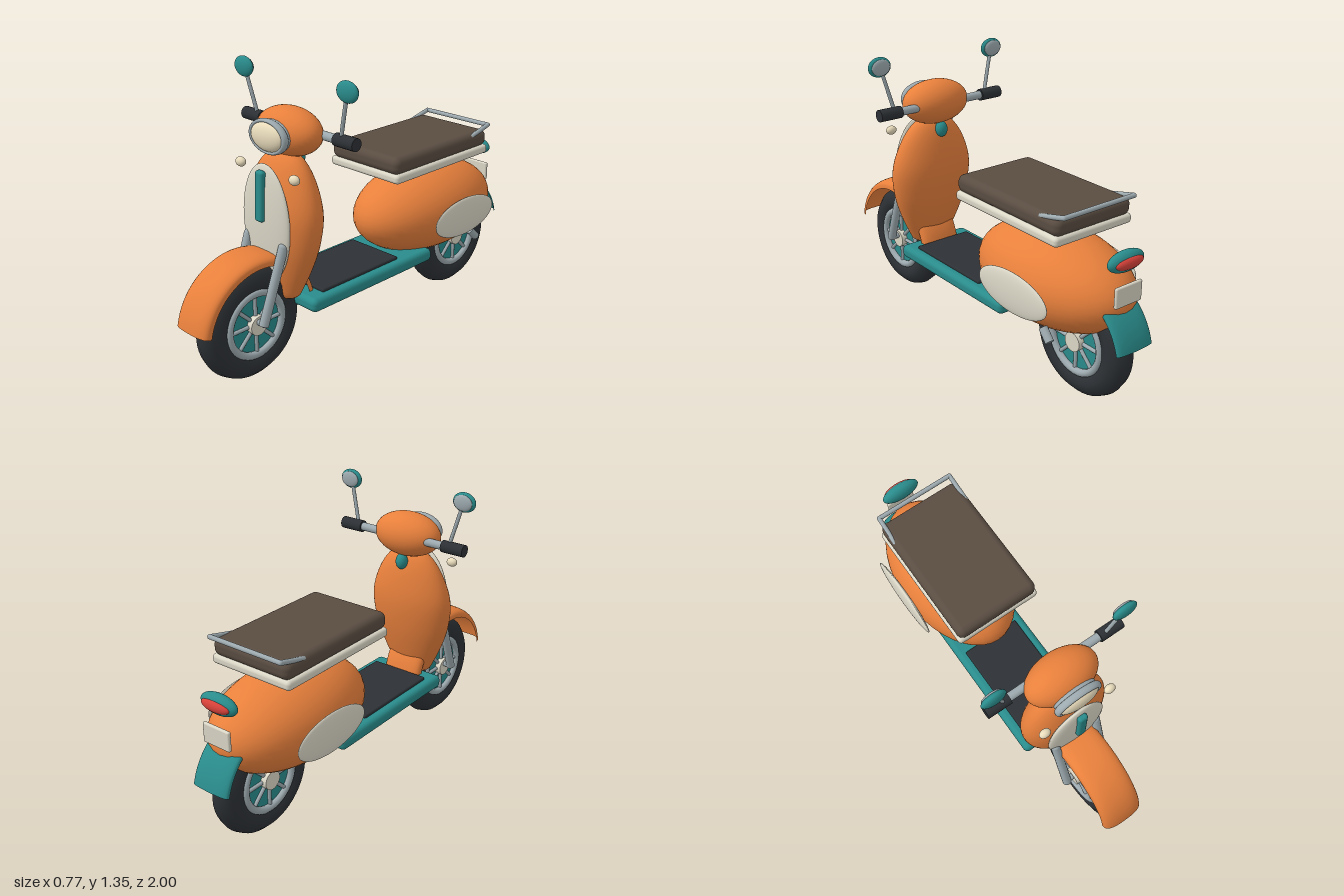
import * as THREE from 'three';
import { RoundedBoxGeometry } from 'three/addons/geometries/RoundedBoxGeometry.js';

const paint = (color) => new THREE.MeshStandardMaterial({ color });
const ORANGE = paint(0xe8803c), TEAL = paint(0x2a8c8c), CREAM = paint(0xdcd8c8), LENS = paint(0xeaddbd);
const STEEL = paint(0x9daaaf), RUBBER = paint(0x2d3135), BROWN = paint(0x5a4d42), RED = paint(0xd8423a);
const V = (x, y, z) => new THREE.Vector3(x, y, z);

export function createModel() {
  const model = new THREE.Group();
  model.name = 'scooter';

  function add(name, geometry, material, x = 0, y = 0, z = 0, parent = model) {
    const mesh = new THREE.Mesh(geometry, material);
    mesh.name = name;
    mesh.position.set(x, y, z);
    parent.add(mesh);
    return mesh;
  }
  const ellipsoid = (name, material, [x, y, z], [rx, ry, rz]) =>
    add(name, new THREE.SphereGeometry(1, 40, 24).scale(rx, ry, rz), material, x, y, z);
  const box = (name, material, [x, y, z], [w, h, d], r) =>
    add(name, new RoundedBoxGeometry(w, h, d, 4, r), material, x, y, z);
  // Straight rod between two points
  function rod(name, material, a, b, r, parent = model) {
    const dir = b.clone().sub(a);
    const mesh = add(name, new THREE.CylinderGeometry(r, r, dir.length(), 16), material, 0, 0, 0, parent);
    mesh.position.copy(a).add(b).multiplyScalar(0.5);
    mesh.quaternion.setFromUnitVectors(V(0, 1, 0), dir.normalize());
    return mesh;
  }

  // Wheels: tyre, disc, rims, spokes and hub around the x axis
  function wheel(name, z) {
    const group = new THREE.Group();
    group.name = name;
    group.position.set(0, 0.27, z);
    model.add(group);
    add('tyre', new THREE.TorusGeometry(0.2, 0.068, 12, 48).rotateY(Math.PI / 2), RUBBER, 0, 0, 0, group);
    add('wheelDisc', new THREE.CylinderGeometry(0.15, 0.15, 0.09, 40).rotateZ(Math.PI / 2), TEAL, 0, 0, 0, group);
    add('hub', new THREE.CylinderGeometry(0.045, 0.045, 0.15, 24).rotateZ(Math.PI / 2), CREAM, 0, 0, 0, group);
    for (const s of [-1, 1]) {
      add('rim', new THREE.TorusGeometry(0.148, 0.018, 10, 48).rotateY(Math.PI / 2), STEEL, s * 0.052, 0, 0, group);
      for (let i = 0; i < 8; i++) {
        const a = i * Math.PI / 4, c = Math.cos(a), n = Math.sin(a);
        rod('spoke', STEEL, V(s * 0.05, 0.03 * n, 0.03 * c), V(s * 0.05, 0.15 * n, 0.15 * c), 0.009, group);
      }
    }
  }
  wheel('frontWheel', 0.68);
  wheel('rearWheel', -0.69);

  // Mudguards: a domed section swept around the axle, angles from the front horizontal
  function mudguard(name, color, z, from, to, rEdge, rTop, half) {
    const g = new THREE.PlaneGeometry(1, 1, 16, 32), p = g.attributes.position;
    for (let i = 0; i < p.count; i++) {
      const t = p.getX(i) * Math.PI;
      const a = THREE.MathUtils.degToRad(THREE.MathUtils.lerp(from, to, p.getY(i) + 0.5));
      const r = rEdge + (rTop - rEdge) * Math.pow(Math.max(0, Math.cos(t)), 0.6);
      const x = half * Math.sign(t) * Math.pow(Math.abs(Math.sin(t)), 0.8);
      p.setXYZ(i, x, r * Math.sin(a), r * Math.cos(a));
    }
    g.computeVertexNormals();
    add(name, g, new THREE.MeshStandardMaterial({ color: color.color, side: THREE.DoubleSide }), 0, 0.27, z);
  }
  mudguard('frontMudguard', ORANGE, 0.68, 11, 166, 0.283, 0.328, 0.105);
  mudguard('rearMudguard', TEAL, -0.69, 80, 166, 0.295, 0.32, 0.1);

  // Leg shield: oval sections, leaning slightly back
  const outline = new THREE.SplineCurve([
    [0.001, 0.335], [0.09, 0.34], [0.13, 0.4], [0.175, 0.5], [0.207, 0.6], [0.221, 0.71],
    [0.208, 0.8], [0.165, 0.9], [0.11, 0.97], [0.05, 1.002], [0.001, 1.006],
  ].map(([x, y]) => new THREE.Vector2(x, y)));
  const shield = new THREE.LatheGeometry(outline.getPoints(40), 48);
  shield.applyMatrix4(new THREE.Matrix4().set(1, 0, 0, 0, 0, 1, 0, 0, 0, -0.06, 0.545, 0.5, 0, 0, 0, 1));
  add('legShield', shield, ORANGE);
  ellipsoid('frontPanel', CREAM, [0, 0.7, 0.557], [0.15, 0.27, 0.03]);
  box('frontTrim', TEAL, [0, 0.83, 0.586], [0.048, 0.23, 0.032], 0.014).rotation.x = -0.05;
  ellipsoid('bagHook', TEAL, [0, 0.955, 0.362], [0.03, 0.04, 0.03]);

  // Headset and headlight
  ellipsoid('headset', ORANGE, [0, 1.085, 0.41], [0.178, 0.108, 0.112]);
  const ring = new THREE.TorusGeometry(0.105, 0.013, 12, 48).scale(1, 0.66, 1.3);
  add('headlightRing', ring, STEEL, 0, 1.083, 0.53);
  const shell = new THREE.CylinderGeometry(0.105, 0.105, 0.06, 40).rotateX(Math.PI / 2).scale(1, 0.66, 1);
  add('headlightShell', shell, STEEL, 0, 1.083, 0.505);
  ellipsoid('headlightLens', LENS, [0, 1.083, 0.535], [0.1, 0.064, 0.034]);

  // Handlebar, mirrors, indicators, fork legs and side panels
  rod('handlebar', STEEL, V(-0.25, 1.085, 0.36), V(0.25, 1.085, 0.36), 0.02);
  for (const s of [-1, 1]) {
    rod('grip', RUBBER, V(s * 0.235, 1.085, 0.36), V(s * 0.353, 1.085, 0.36), 0.029);
    rod('mirrorStalk', STEEL, V(s * 0.265, 1.09, 0.363), V(s * 0.315, 1.28, 0.38), 0.009);
    ellipsoid('mirrorShell', TEAL, [s * 0.325, 1.308, 0.384], [0.06, 0.047, 0.022]);
    ellipsoid('mirrorGlass', STEEL, [s * 0.325, 1.308, 0.369], [0.049, 0.038, 0.012]);
    ellipsoid('indicator', LENS, [s * 0.174, 0.935, 0.545], [0.028, 0.022, 0.02]);
    rod('forkLeg', STEEL, V(s * 0.115, 0.62, 0.565), V(s * 0.11, 0.285, 0.685), 0.022);
    ellipsoid('forkTop', STEEL, [s * 0.115, 0.62, 0.565], [0.022, 0.022, 0.022]);
    ellipsoid('sidePanel', CREAM, [s * 0.262, 0.495, -0.505], [0.018, 0.097, 0.225]);
  }
  rod('frontAxle', STEEL, V(-0.11, 0.29, 0.68), V(0.11, 0.29, 0.68), 0.015);

  // Floorboard and rear body
  box('floorboard', TEAL, [0, 0.316, 0.058], [0.39, 0.066, 0.805], 0.026);
  box('floorMat', RUBBER, [0, 0.351, 0.12], [0.306, 0.022, 0.5], 0.008);
  ellipsoid('rearBody', ORANGE, [0, 0.503, -0.488], [0.262, 0.22, 0.437]);
  rod('exhaust', STEEL, V(0.195, 0.36, -0.635), V(0.2, 0.312, -0.685), 0.02);

  // Seat with carry rail
  box('seatBase', CREAM, [0, 0.788, -0.385], [0.44, 0.046, 0.68], 0.018);
  box('seatCushion', BROWN, [0, 0.846, -0.385], [0.43, 0.084, 0.68], 0.034);
  const rail = [V(-0.2, 0.87, -0.61), V(-0.198, 0.903, -0.745), V(0.198, 0.903, -0.745), V(0.2, 0.87, -0.61)];
  for (let i = 0; i < 3; i++) rod('carryRail', STEEL, rail[i], rail[i + 1], 0.011);
  for (const p of rail) ellipsoid('railJoint', STEEL, p.toArray(), [0.011, 0.011, 0.011]);

  // Tail light and plate
  ellipsoid('tailLightShell', TEAL, [0, 0.72, -0.903], [0.1, 0.047, 0.036]);
  ellipsoid('tailLight', RED, [0, 0.72, -0.925], [0.078, 0.028, 0.023]);
  box('plate', CREAM, [0, 0.578, -0.927], [0.15, 0.095, 0.018], 0.008);

  return model;
}
